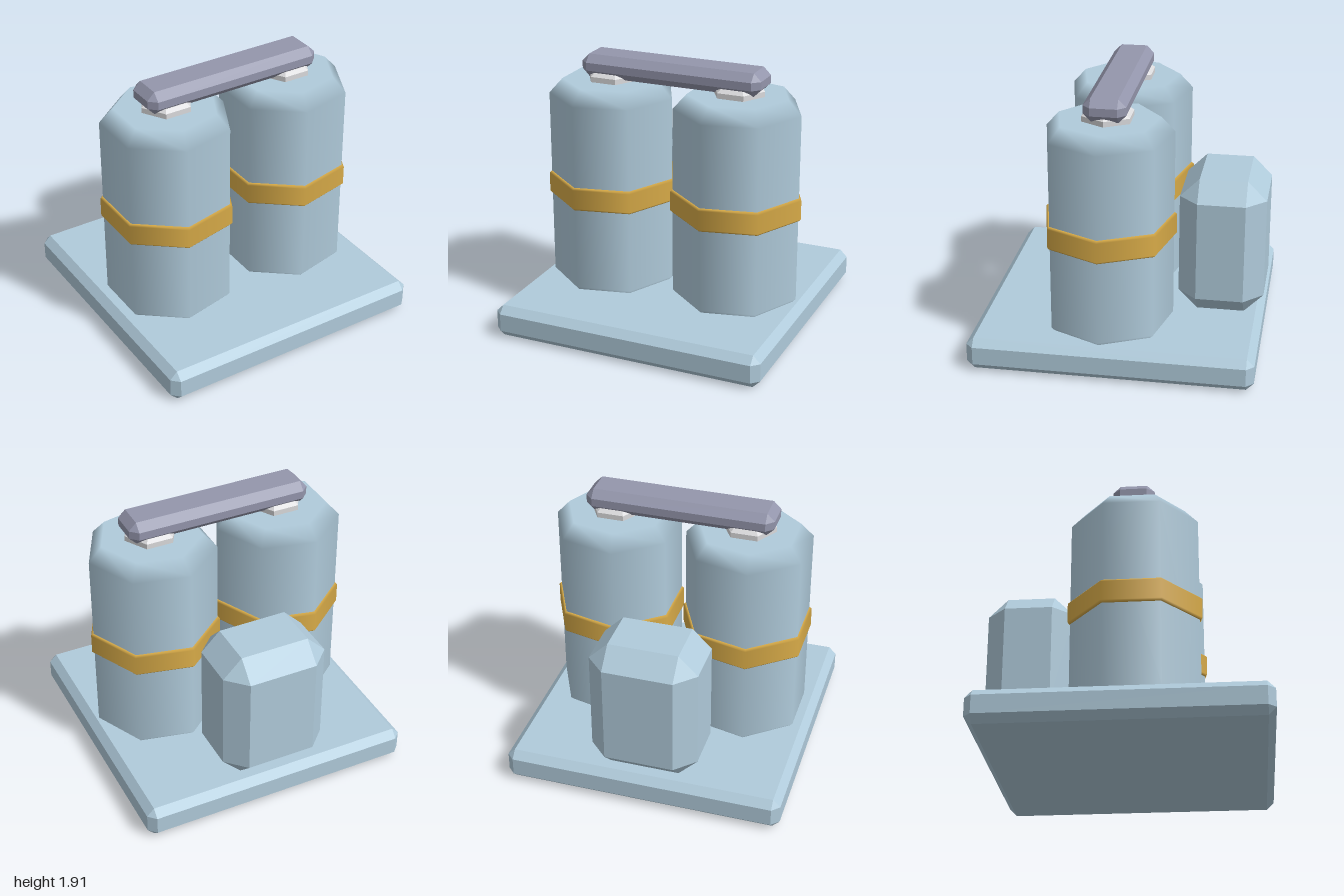
import * as THREE from 'three';
import { ConvexGeometry } from 'three/addons/geometries/ConvexGeometry.js';

const paint = (name, color) => {
  const m = new THREE.MeshStandardMaterial({ color });
  m.name = name;
  return m;
};

// Box with every edge cut at 45 degrees
function chamferBox(w, h, d, c) {
  const pts = [];
  for (const sx of [-1, 1]) for (const sy of [-1, 1]) for (const sz of [-1, 1]) {
    const x = w / 2, y = h / 2, z = d / 2;
    for (const [a, b, e] of [[x, y - c, z - c], [x - c, y, z - c], [x - c, y - c, z]])
      pts.push(new THREE.Vector3(sx * a, sy * b, sz * e));
  }
  return new ConvexGeometry(pts);
}

// Low-sided turned part with smooth shading; rows are [radius, y, slope],
// slope 0 = normal points outward, 1 = up, -1 = down
function smoothPrism(rows, sides) {
  const g = new THREE.LatheGeometry(rows.map(([r, y]) => new THREE.Vector2(r, y)), sides, Math.PI / 2);
  const n = g.attributes.normal;
  for (let i = 0; i < n.count; i++) {
    const slope = rows[i % rows.length][2];
    const a = Math.PI / 2 + Math.floor(i / rows.length) * 2 * Math.PI / sides;
    const k = slope === 0 ? 1 : 0;
    n.setXYZ(i, k * Math.sin(a), slope, k * Math.cos(a));
  }
  return g;
}

// Flat-shaded turned part
function flatPrism(rows, sides) {
  const g = new THREE.LatheGeometry(rows.map(([r, y]) => new THREE.Vector2(r, y)), sides, Math.PI / 2).toNonIndexed();
  g.computeVertexNormals();
  return g;
}

export function createModel() {
  const model = new THREE.Group();
  model.name = 'twinTankUnit';
  const blue = paint('paleBlue', 0xb0cbdb);
  const gold = paint('gold', 0xd8ab48);
  const violet = paint('greyViolet', 0x9496ac);
  const white = paint('lightGrey', 0xdadadc);

  const add = (parent, name, geo, mat, x = 0, y = 0, z = 0) => {
    const mesh = new THREE.Mesh(geo, mat);
    mesh.name = name;
    mesh.position.set(x, y, z);
    parent.add(mesh);
  };

  add(model, 'basePlate', chamferBox(2, 0.235, 2, 0.053), blue, 0, 0.1175, 0);
  add(model, 'rearHousing', chamferBox(0.77, 1, 0.61, 0.137), blue, 0, 0.735, -0.695);

  // Seven-sided tanks, each with a band and a six-sided neck
  const body = smoothPrism([[0, 0.155, -1], [0.362, 0.155, -1], [0.457, 0.26, 0],
    [0.457, 1.625, 0], [0.362, 1.73, 1], [0, 1.73, 1]], 7);
  const band = smoothPrism([[0.44, 0.86, -1], [0.46, 0.86, -1], [0.475, 0.875, 0],
    [0.475, 1.015, 0], [0.46, 1.03, 1], [0.44, 1.03, 1]], 7);
  const neck = flatPrism([[0, 1.7], [0.19, 1.7], [0.19, 1.768], [0.16, 1.79], [0, 1.79]], 6);
  for (const [side, x] of [['right', -0.48], ['left', 0.48]]) {
    const tank = new THREE.Group();
    tank.name = side + 'Tank';
    tank.position.set(x, 0, 0.075);
    add(tank, 'tankBody', body, blue);
    add(tank, 'tankBand', band, gold);
    add(tank, 'tankNeck', neck, white);
    model.add(tank);
  }

  // Bar joining the two necks
  add(model, 'crossBar', chamferBox(1.35, 0.165, 0.295, 0.054), violet, 0, 1.8325, 0.073);
  return model;
}
